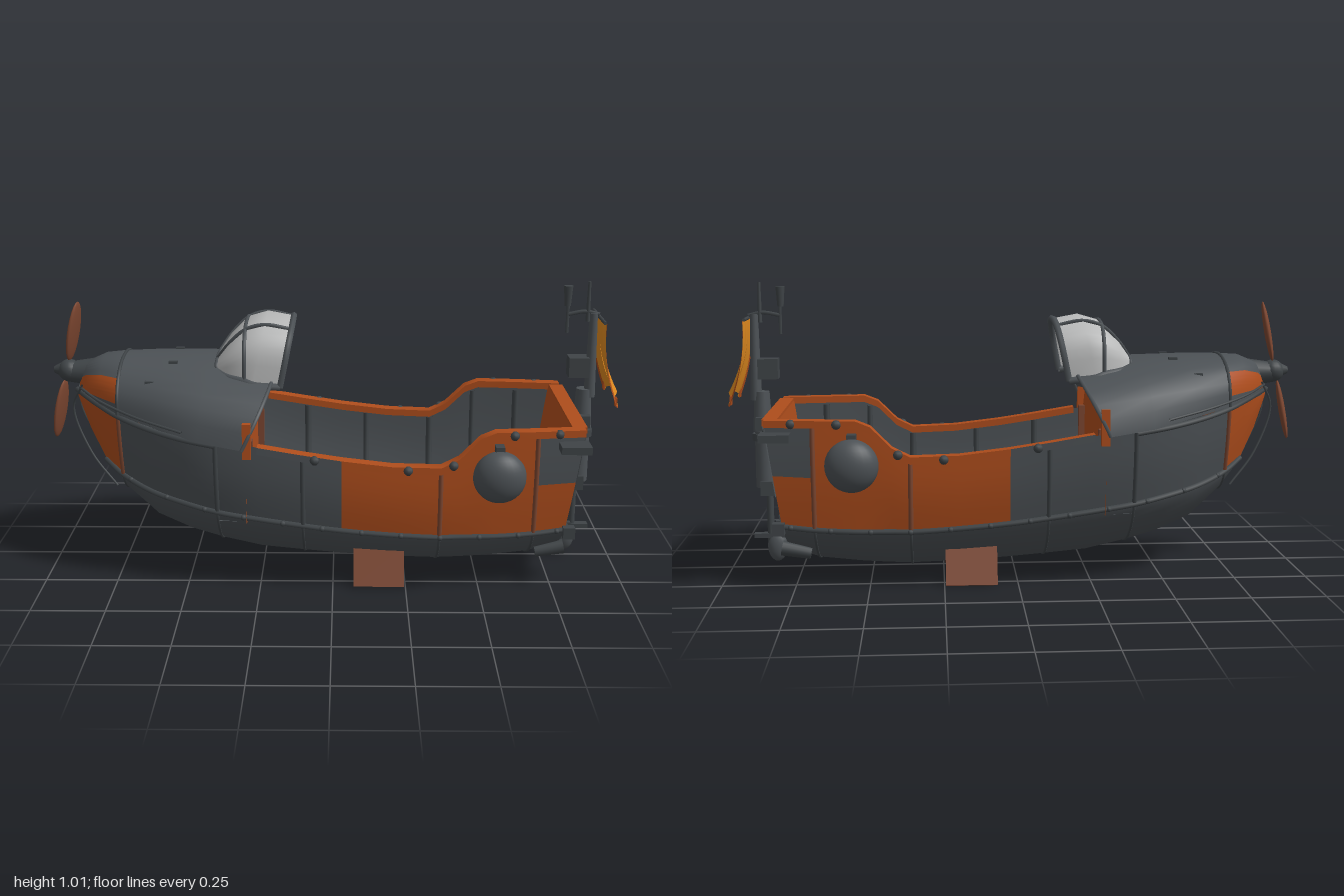
import * as THREE from 'three';
import { toCreasedNormals } from 'three/addons/utils/BufferGeometryUtils.js';

const V = (x, y, z) => new THREE.Vector3(x, y, z);
const mat = (name, color) => {
  const m = new THREE.MeshStandardMaterial({ color, side: THREE.DoubleSide });
  m.name = name;
  return m;
};

// Hull stations: x, keel y, chine y, chine half width, gunwale y, gunwale half width
const HULL = [
  [-0.90, .60, .60, .005, .64, .02], [-0.86, .49, .50, .03, .635, .08], [-0.80, .37, .40, .08, .62, .145],
  [-0.73, .28, .365, .15, .60, .205], [-0.62, .18, .33, .225, .575, .268], [-0.50, .13, .305, .275, .555, .318],
  [-0.39, .10, .285, .305, .54, .342], [-0.25, .068, .265, .318, .52, .350], [-0.10, .055, .245, .325, .495, .352],
  [0.03, .045, .23, .33, .475, .352], [0.20, .035, .215, .33, .455, .352], [0.36, .03, .205, .325, .45, .347],
  [0.42, .032, .205, .32, .48, .345], [0.49, .036, .205, .317, .55, .34], [0.54, .04, .205, .315, .57, .337],
  [0.68, .055, .21, .30, .57, .325], [0.79, .085, .22, .285, .57, .305],
];
// Cowl stations: x, edge y, half width, crown y, rearward shift of the crown
const COWL = [
  [-0.89, .62, .03, .70, 0], [-0.86, .62, .09, .735, 0], [-0.80, .61, .155, .76, 0], [-0.73, .60, .215, .763, 0],
  [-0.60, .575, .283, .763, 0], [-0.45, .545, .348, .757, .02], [-0.30, .525, .375, .725, .10],
];
// Windshield stations: x, crown y, half width, base y
const GLASS = [[-0.40, .765, .12, .73], [-0.36, .825, .165, .72], [-0.30, .885, .185, .71], [-0.23, .905, .192, .70], [-0.14, .888, .185, .69]];

const range = (n, a, b) => Array.from({ length: n + 1 }, (_, i) => a + (b - a) * i / n);
const rows = (a, b) => HULL.filter(r => r[0] >= a - 1e-6 && r[0] <= b + 1e-6);
const at = x => {
  const i = Math.max(1, HULL.findIndex(r => r[0] >= x)), p = HULL[i - 1], q = HULL[i];
  return p.map((v, k) => v + (q[k] - v) * (x - p[0]) / (q[0] - p[0]));
};
const rake = (r, y) => (r[0] > .75 ? r[0] + .14 * (y - r[2]) : r[0]);
const bottom = (r, a) => {
  const y = r[2] - (r[2] - r[1]) * Math.pow(Math.max(0, Math.cos(a)), 1.5);
  return V(rake(r, y), y, r[3] * Math.sin(a));
};
const side = (r, v, s, d = 0) => {
  const y = r[2] + (r[4] - r[2]) * v;
  return V(rake(r, y), y, s * (r[3] + (r[5] - r[3]) * v + .008 * Math.sin(Math.PI * v) + d));
};
const cowl = (r, a) => {
  const c = Math.pow(Math.abs(Math.cos(a)), .85), q = Math.pow(Math.abs(Math.sin(a)), .9) * Math.sign(a);
  return V(r[0] + r[4] * c, r[1] + (r[3] - r[1]) * c, r[2] * q);
};
const canopy = (r, a) => {
  const c = Math.pow(Math.abs(Math.cos(a)), .6), q = Math.pow(Math.abs(Math.sin(a)), .75) * Math.sign(a);
  return V(r[0] - .04 * (1 - c) * (r[0] > -.3 ? 1 : 0), r[3] + (r[1] - r[3]) * c, r[2] * q);
};

// Skin over a list of equal-length cross-sections
function loft(sections, crease = .6) {
  const n = sections[0].length, idx = [];
  for (let i = 0; i < sections.length - 1; i++) for (let j = 0; j < n - 1; j++) {
    const a = i * n + j, b = a + n;
    idx.push(a, b, a + 1, b, b + 1, a + 1);
  }
  const g = new THREE.BufferGeometry().setFromPoints(sections.flat());
  g.setIndex(idx);
  g.computeVertexNormals();
  return toCreasedNormals(g, crease);
}
const tube = (pts, r, n = 6) => new THREE.TubeGeometry(new THREE.CatmullRomCurve3(pts), pts.length * 5, r, n);

export function createModel() {
  const grey = mat('slate grey', 0x4c5155), dark = mat('dark iron', 0x3f4447), orange = mat('burnt orange', 0xae4d1c);
  const rust = mat('rust brown', 0x7c4630), glass = mat('pale glass', 0xb8b9b9), amber = mat('amber cloth', 0xe08a20);
  const model = new THREE.Group();
  model.name = 'flyingBoat';
  const add = (name, geo, m, x = 0, y = 0, z = 0) => {
    const mesh = new THREE.Mesh(geo, m);
    mesh.name = name;
    mesh.position.set(x, y, z);
    model.add(mesh);
    return mesh;
  };
  const box = (name, m, w, h, d, x, y, z) => add(name, new THREE.BoxGeometry(w, h, d), m, x, y, z);
  const rod = (name, m, r0, r1, h, x, y, z, n = 14) => add(name, new THREE.CylinderGeometry(r0, r1, h, n), m, x, y, z);
  const H = Math.PI / 2;

  // Rounded lower hull and its stern face
  add('lowerHull', loft(HULL.map(r => range(20, H, -H).map(a => bottom(r, a)))), grey);
  const end = HULL[HULL.length - 1];
  add('lowerTransom', loft(range(10, 0, H).map(a => [bottom(end, -a), bottom(end, a)])), grey);

  // Upper transom with a grey plate on it
  const across = (v, k, dx) => [-1, 1].map(s => { const p = side(end, v, s); return V(p.x + dx, p.y, p.z * k); });
  add('transom', loft(range(4, 0, 1).map(v => across(v, 1, 0))), orange);
  add('transomPlate', loft(range(4, .28, .93).map(v => across(v, .95, .006))), grey);
  add('innerTransom', loft(range(4, .1, 1).map(v => across(v, .93, -.04))), orange);

  for (const s of [1, -1]) {
    // Painted side panels: from x, to x, from height, to height
    for (const [a, b, v0, v1, m] of [[-.9, -.73, 0, 1, orange], [-.73, .03, 0, 1, grey], [.03, .68, 0, 1, orange],
      [.68, .79, 0, .5, orange], [.68, .79, .5, 1, grey]])
      add('sidePanel', loft(rows(a, b).map(r => range(6, v0, v1).map(v => side(r, v, s)))), m);
    add('innerWall', loft(rows(-.39, .79).map(r => range(4, .05, 1).map(v => side(r, v, s, -.03)))), grey);

    // Gunwale rail: orange cap, outer face grey forward and orange aft
    const rail = (a, b, section) => loft(rows(a, b).map(r => {
      const p = side(r, 1, s);
      return section.map(([d, h]) => V(p.x, p.y + h, p.z + s * d));
    }));
    add('gunwaleCap', rail(-.25, .79, [[.01, .012], [-.035, .012], [-.035, -.012], [.01, -.012]]), orange);
    add('gunwaleFace', rail(-.25, .03, [[.01, -.012], [.01, .012]]), grey);
    add('gunwaleFace', rail(.03, .79, [[.01, -.012], [.01, .012]]), orange);

    // Chine rail with bolts, and the bow rail
    add('chineRail', tube(HULL.slice(2).map(r => side(r, 0, s, .002)), .010), dark);
    add('bowRail', tube(HULL.slice(0, 7).map(r => side(r, .97, s, .006)), .010), dark);
    for (const x of range(11, -.7, .76)) {
      const p = side(at(x), 0, s, .008);
      add('bolt', new THREE.SphereGeometry(.010, 8, 6), dark, p.x, p.y, p.z);
    }
    for (const x of [-.06, .25, .4, .6, .75]) {
      const p = side(at(x), 1, s, .01);
      add('railCleat', new THREE.SphereGeometry(.016, 8, 6), dark, p.x, p.y, p.z);
    }
    // Frame bands outside and ribs inside
    for (const x of [-.73, -.39, -.1, .36, .68]) {
      const r = at(x);
      add('sideBand', tube(range(5, 0, 1).map(v => side(r, v, s, .001)), .008), x > .03 || x < -.7 ? rust : dark);
      add('keelBand', tube(range(7, 0, H).map(a => bottom(r, a * s)), .005), dark);
      if (x > -.3) add('innerRib', tube(range(4, .1, .95).map(v => side(r, v, s, -.034)), .012), dark);
    }
    for (const x of [.12, .52]) add('innerRib', tube(range(4, .1, .95).map(v => side(at(x), v, s, -.034)), .01), dark);

    // Round side float on a mount, and a splayed fin
    const ball = add('sideFloat', new THREE.SphereGeometry(.088, 24, 18), grey, .55, .44, s * .38);
    ball.scale.z = .68;
    rod('floatMount', dark, .035, .035, .05, .55, .44, s * .335).rotation.x = H;
    box('floatStrap', dark, .03, .022, .05, .55, .53, s * .355);
    box('fin', rust, .175, .14, .012, .158, .076, s * .275).rotation.x = -s * .4;
    // Stern brackets and skids
    box('sternBracket', dark, .10, .025, .08, .80, .53, s * .34);
    box('sternBracket', dark, .04, .04, .035, .80, .215, s * .30);
    rod('sternSkid', dark, .02, .026, .1, .75, .12, s * .215).rotation.z = H + .2;
    // Bow stays
    add('bowStay', tube([V(-.87, .67, s * .09), V(-.91, .58, s * .06), V(-.85, .42, s * .08), V(-.76, .31, s * .11)], .004), dark);
    add('cowlStay', tube([V(-.88, .66, s * .08), V(-.8, .635, s * .165), V(-.66, .605, s * .265), V(-.5, .575, s * .335)], .005), dark);
    // Bulkhead flange showing behind the cowl
    box('bulkheadFlange', orange, .028, .12, .02, -.283, .555, s * .362);
  }
  add('sternRail', new THREE.BoxGeometry(.05, .022, .54), orange, .825, .568, 0);
  add('transomRail', tube([-1, -.5, 0, .5, 1].map(t => V(.793, .225, t * .285)), .011), dark);
  for (const z of range(6, -.25, .25)) box('transomBolt', dark, .014, .018, .018, .806, .225, z);
  for (const z of [-.17, .17]) rod('transomLug', dark, .016, .016, .03, .845, .53, z).rotation.z = H;
  add('keel', tube(HULL.slice(1).map(r => V(r[0], r[1], 0)), .007), dark);

  // Cockpit floor, planks, hatches and stern bench
  add('floor', loft(rows(-.39, .79).map(r => [V(r[0], .25, r[3] - .01), V(r[0], .25, -r[3] + .01)])), grey);
  for (const z of range(6, -.24, .24)) box('plankSeam', dark, .84, .006, .006, .17, .252, z);
  for (const z of [-.2, .2]) box('floorHatch', grey, .08, .014, .12, .18, .256, z);
  box('bench', grey, .19, .12, .55, .69, .31, 0);
  box('benchEdge', dark, .015, .02, .55, .597, .365, 0);

  // Domed fore cowl: grey crown, orange nose cheeks above a grey lip
  const dome = (list, a, b) => loft(list.map(r => range(14, a, b).map(t => cowl(r, t))));
  add('cowl', dome(COWL.slice(3), -H, H), grey);
  add('noseTop', dome(COWL.slice(0, 4), -.85, .85), grey);
  for (const s of [1, -1]) {
    add('noseCheek', dome(COWL.slice(0, 4), s * .85, s * 1.4), orange);
    add('noseLip', dome(COWL.slice(0, 4), s * 1.4, s * H), grey);
  }
  add('cowlRearEdge', tube(range(16, -H, H).map(a => cowl(COWL[6], a)), .007), grey);
  add('noseBand', tube(range(12, -H, H).map(a => cowl(COWL[3], a)), .006), dark);
  for (const [x, z] of [[-.55, .1], [-.55, -.1], [-.62, .2], [-.62, -.2]]) box('cowlLug', dark, .03, .02, .015, x, z * z > .02 ? .705 : .75, z);

  // Bulkhead below the windshield
  const wall = new THREE.Shape([[-.33, .25], [.33, .25], [.345, .53], [.27, .63], [.16, .69], [-.16, .69], [-.27, .63], [-.345, .53]]
    .map(p => new THREE.Vector2(...p)));
  add('bulkhead', new THREE.ShapeGeometry(wall), orange, -.29).rotation.y = H;
  box('dashboard', dark, .05, .06, .3, -.265, .70, 0);
  for (const s of [1, -1]) box('bulkheadPost', rust, .025, .24, .03, -.28, .42, s * .3);

  // Windshield with its frame
  add('windshield', loft(GLASS.map(r => range(20, -H, H).map(a => canopy(r, a))), 1), glass);
  for (const i of [0, 2, 4]) add('windshieldArch', tube(range(14, -H, H).map(a => canopy(GLASS[i], a)), i === 4 ? .012 : .007), grey);
  for (const a of [-H, -.5, .5, H]) add('windshieldBar', tube(GLASS.map(r => canopy(r, a)), Math.abs(a) > 1 ? .013 : .007), grey);

  // Propeller
  rod('propellerShaft', dark, .035, .05, .1, -.885, .695, 0).rotation.z = H;
  add('propellerHub', new THREE.SphereGeometry(.04, 16, 12), dark, -.93, .7, 0);
  rod('spinner', dark, .012, .025, .025, -.97, .703, 0).rotation.z = H;
  for (const s of [1, -1]) {
    const blade = add('propellerBlade', new THREE.SphereGeometry(1, 16, 12), rust, -.938 + s * .03, .7 + s * .14, 0);
    blade.scale.set(.012, .108, .05);
    blade.rotation.set(0, -.22, -.19);
  }

  // Stern post: motor column, brackets and rudder
  rod('motorColumn', grey, .034, .034, .2, .875, .40, 0);
  rod('upperColumn', grey, .026, .034, .14, .88, .57, 0);
  rod('mast', grey, .014, .02, .3, .90, .76, 0);
  rod('mastTip', dark, .005, .008, .14, .88, .95, 0);
  rod('driveShaft', dark, .012, .012, .2, .862, .2, 0);
  box('columnBracket', dark, .08, .045, .11, .86, .53, 0);
  box('columnCrossbar', dark, .03, .02, .34, .845, .535, 0);
  box('lowerBracket', dark, .08, .05, .09, .85, .3, 0);
  rod('columnCollar', dark, .042, .042, .025, .875, .48, 0);
  box('winchBox', dark, .07, .07, .06, .855, .72, 0);
  box('skegBar', dark, .15, .015, .03, .845, .125, 0);
  const pod = add('thrusterPod', new THREE.SphereGeometry(.05, 14, 10), grey, .84, .085, 0);
  pod.scale.set(.7, 1.1, .5);
  // Masthead arm with hanging lantern
  add('mastArm', tube([V(.92, .905, 0), V(.87, .915, 0), V(.81, .905, 0)], .007), dark);
  rod('lantern', dark, .016, .011, .07, .808, .97, 0, 10);
  rod('lanternCord', dark, .006, .006, .1, .81, .89, 0, 6);
  rod('flagYard', dark, .006, .006, .22, .92, .897, 0, 8).rotation.x = H;

  // Swallow-tailed flag in two billowing halves with orange hems
  const cloth = (s, u0, u1) => loft(range(10, 0, 1).map(v => range(8, u0, u1).map(u => {
    const slit = .022 * Math.max(0, v - .35) * (1 - u);
    return V(.925 + .07 * v * v - .03 * v * Math.pow(u, 4) - .02 * v * (1 - u) + .01 * v * Math.sin(u * 8),
      .897 - v * (.245 + .05 * u), s * (u * (.116 + .008 * v) + slit));
  })), 1);
  for (const s of [1, -1]) {
    add('flagCloth', cloth(s, 0, .93), amber);
    add('flagHem', cloth(s, .93, 1), orange);
    box('flagPatch', orange, .006, .03, .025, .972, .622, s * .108);
  }
  return model;
}
